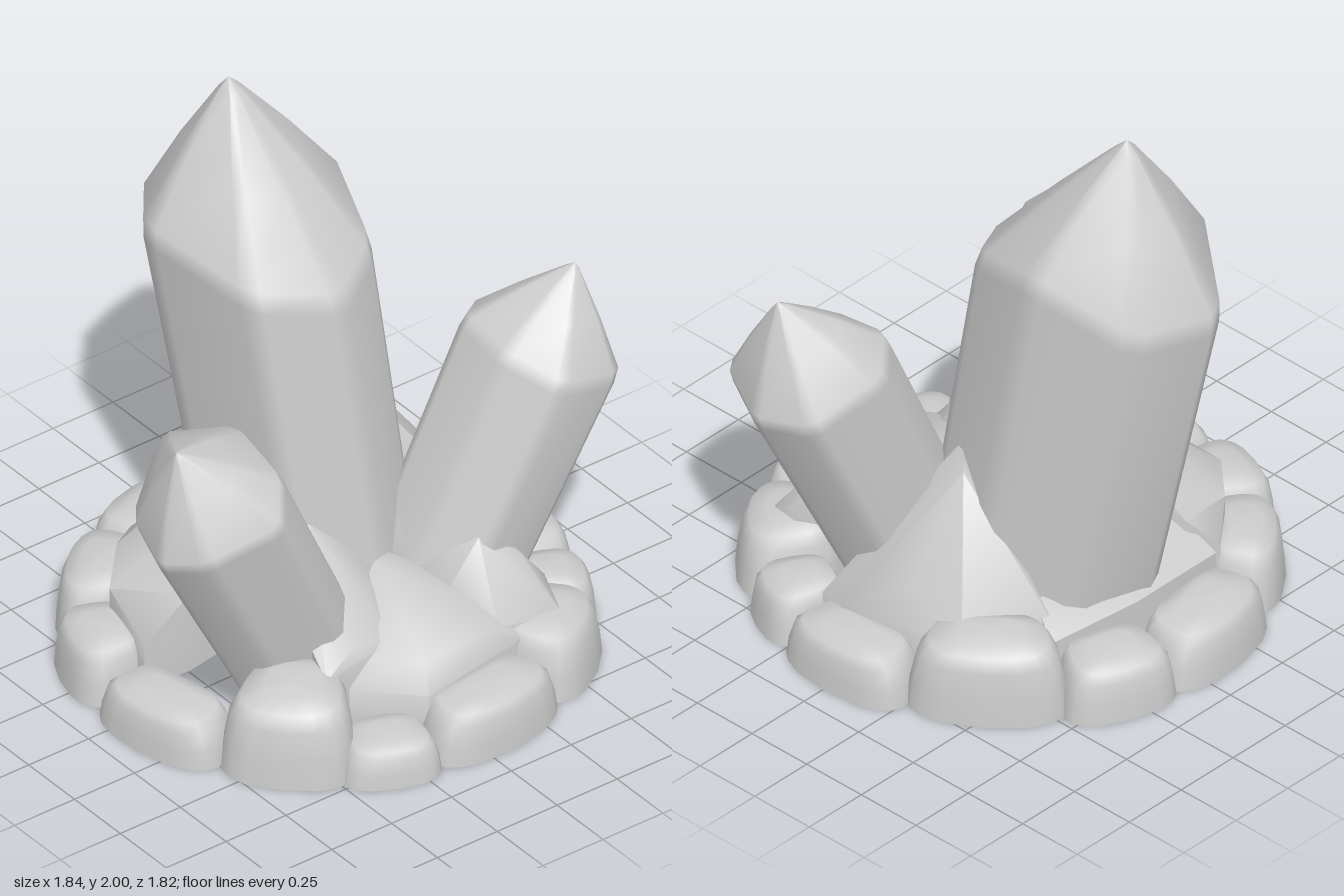
import * as THREE from 'three';
import { toCreasedNormals } from 'three/addons/utils/BufferGeometryUtils.js';
import { ConvexGeometry } from 'three/addons/geometries/ConvexGeometry.js';

const V = (p) => new THREE.Vector3(...p);

// Skin a stack of equal-length rings, bottom to top, counterclockwise from above
function loft(rings) {
  const n = rings[0].length, pos = [], idx = [];
  rings.forEach((r) => r.forEach((p) => pos.push(p.x, p.y, p.z)));
  for (let j = 0; j < rings.length - 1; j++) {
    for (let i = 0; i < n; i++) {
      const a = j * n + i, b = j * n + (i + 1) % n;
      idx.push(a, b, b + n, a, b + n, a + n);
    }
  }
  const g = new THREE.BufferGeometry();
  g.setAttribute('position', new THREE.Float32BufferAttribute(pos, 3));
  g.setIndex(idx);
  g.computeVertexNormals();
  return g;
}

// Pointed crystal: shoulder corners, tip, and the centre of the buried foot
function crystalGeometry({ corners, tip, foot, footScale }) {
  const pts = corners.map(V), top = V(tip), base = V(foot);
  const centre = pts.reduce((s, p) => s.add(p), new THREE.Vector3()).divideScalar(pts.length);
  const n = pts.length, shoulder = [];
  pts.forEach((p, i) => {
    // Narrow bevel on every long edge
    shoulder.push(p.clone().lerp(pts[(i + n - 1) % n], 0.12), p.clone().lerp(pts[(i + 1) % n], 0.12));
  });
  const footRing = shoulder.map((p) => p.clone().sub(centre).multiplyScalar(footScale).add(base));
  const toTip = (t, bulge) => shoulder.map((p) => {
    const axis = centre.clone().lerp(top, t);
    return p.clone().lerp(top, t).sub(axis).multiplyScalar(bulge).add(axis);
  });
  return loft([
    footRing.map(() => base), footRing, footRing,
    shoulder.map((p, i) => p.clone().lerp(footRing[i], 0.04)),
    toTip(0.04, 1.01), toTip(0.5, 1.08), toTip(0.92, 1.3), toTip(1, 1),
  ]);
}

// Rounded stone that follows the rim: angles in degrees from +x towards +z
function stoneGeometry([a0, a1, r0, r1, h, closed]) {
  const levels = [[1, 0], [0.96, 0.4], [0.88, 0.78], [0.75, 0.96], [0.42, 1.03], [0, 1.03]];
  if (closed) levels.unshift([0, 0], [1, 0]);
  const round = (c) => Math.sign(c) * Math.abs(c) ** 0.65;
  return loft(levels.map(([s, y]) => Array.from({ length: 20 }, (_, i) => {
    const t = (i / 20) * Math.PI * 2;
    const a = THREE.MathUtils.degToRad((a0 + a1) / 2 + round(Math.cos(t)) * s * (a1 - a0) / 2);
    const r = (r0 + r1) / 2 + round(Math.sin(t)) * s * (r1 - r0) / 2;
    // Tops lean down towards the outside
    const lean = 1 - 0.08 * Math.sin(t) * s;
    return new THREE.Vector3(Math.cos(a) * r, y * h * lean, Math.sin(a) * r);
  })));
}

// Angular mound: hull of its crest points and their footprint
function moundGeometry(points) {
  const footprint = points.map(([x, , z]) => new THREE.Vector3(x, 0.06, z));
  return toCreasedNormals(new ConvexGeometry([...points.map(V), ...footprint]), 0.9);
}

const CRYSTALS = {
  tallCrystal: {
    corners: [[-0.12, 1.4, -0.86], [-0.4, 1.53, -0.5], [-0.3, 1.45, -0.03], [0, 1.38, 0.08],
      [0.23, 1.45, -0.05], [0.34, 1.57, -0.4], [0.21, 1.42, -0.76]],
    tip: [-0.04, 2, -0.49], foot: [0.1, 0.1, -0.16], footScale: 0.92,
  },
  rightCrystal: {
    corners: [[-0.83, 0.85, 0.42], [-0.58, 0.95, 0.51], [-0.48, 1.05, 0.38], [-0.45, 1.09, 0.1],
      [-0.6, 1.0, -0.13], [-0.85, 0.85, 0.04], [-0.92, 0.81, 0.28]],
    tip: [-0.81, 1.2, 0.23], foot: [-0.27, 0.15, 0.19], footScale: 0.9,
  },
  leftCrystal: {
    corners: [[0.93, 0.96, 0.3], [0.86, 0.98, 0.1], [0.6, 1.1, 0.01], [0.46, 1.16, 0.13],
      [0.46, 1.13, 0.36], [0.57, 1.05, 0.54], [0.81, 1, 0.54]],
    tip: [0.78, 1.355, 0.33], foot: [0.26, 0.13, 0.19], footScale: 0.9,
  },
};

// Start angle, end angle, inner radius, outer radius, height, closed below
const STONES = [
  [64, 103, 0.64, 0.91, 0.19], [101, 125, 0.66, 0.93, 0.14, true], [120, 154, 0.5, 0.92, 0.29],
  [152, 188, 0.66, 0.93, 0.17], [187, 214, 0.65, 0.93, 0.2, true], [211, 244, 0.64, 0.91, 0.22],
  [241, 279, 0.62, 0.92, 0.2], [276, 305, 0.62, 0.92, 0.2, true], [302, 343, 0.58, 0.88, 0.28],
  [341, 378, 0.64, 0.91, 0.18], [376, 398, 0.6, 0.9, 0.18], [395, 427, 0.55, 0.92, 0.23],
];

const MOUNDS = {
  frontMound: [[-0.34, 0.2, 0.5], [-0.3, 0.27, 0.42], [-0.13, 0.2, 0.72], [0.32, 0.2, 0.64],
    [0.33, 0.28, 0.5], [-0.15, 0.36, 0.4], [0, 0.43, 0.25], [0.1, 0.4, 0.2], [0.15, 0.36, 0.45],
    [-0.1, 0.29, 0.66], [0.2, 0.28, 0.63]],
  leftSpur: [[0.3, 0.73, -0.06], [0.38, 0.68, -0.14], [0.36, 0.24, -0.54], [0.64, 0.22, -0.38],
    [0.72, 0.18, 0.1], [0.68, 0.17, 0.22], [0.5, 0.42, -0.1], [0.62, 0.36, -0.15], [0.25, 0.6, 0]],
  leftFrontMound: [[0.26, 0.64, 0.08], [0.13, 0.38, 0.19], [0.3, 0.5, 0.43], [0.52, 0.3, 0.5],
    [0.25, 0.25, 0.6], [0.15, 0.3, 0.42], [0.43, 0.42, 0.48], [0.5, 0.22, 0.62]],
  rightSaddle: [[-0.17, 0.58, 0.12], [-0.08, 0.5, 0.16], [-0.13, 0.42, 0.36], [-0.28, 0.34, 0.5],
    [-0.42, 0.28, 0.54], [0.02, 0.36, 0.3], [-0.1, 0.3, 0.5], [-0.28, 0.54, -0.02]],
  rightBackMound: [[-0.72, 0.22, -0.06], [-0.66, 0.28, -0.33], [-0.5, 0.3, -0.5], [-0.27, 0.34, -0.54],
    [-0.34, 0.46, -0.1], [-0.55, 0.37, -0.04], [-0.35, 0.24, -0.62], [-0.48, 0.4, -0.28],
    [-0.28, 0.42, -0.38], [-0.22, 0.44, -0.1]],
  backMound: [[-0.3, 0.25, -0.65], [0.42, 0.22, -0.58], [0.1, 0.27, -0.67], [0.36, 0.3, -0.45], [-0.3, 0.33, -0.45]],
};

export function createModel() {
  const stone = new THREE.MeshStandardMaterial({ color: 0xcccccc, side: THREE.DoubleSide });
  stone.name = 'pale grey stone';
  const model = new THREE.Group();
  model.name = 'crystalCluster';
  const add = (name, geometry, parent) => {
    const mesh = new THREE.Mesh(geometry, stone);
    mesh.name = name;
    parent.add(mesh);
  };

  // Three crystals
  for (const [name, spec] of Object.entries(CRYSTALS)) add(name, crystalGeometry(spec), model);

  // Rim of stones
  const rim = new THREE.Group();
  rim.name = 'stoneRim';
  STONES.forEach((s, i) => add(`rimStone${i + 1}`, stoneGeometry(s), rim));

  // Mounds packed between the crystals
  const mounds = new THREE.Group();
  mounds.name = 'mounds';
  for (const [name, pts] of Object.entries(MOUNDS)) add(name, moundGeometry(pts), mounds);

  model.add(rim, mounds);
  return model;
}
